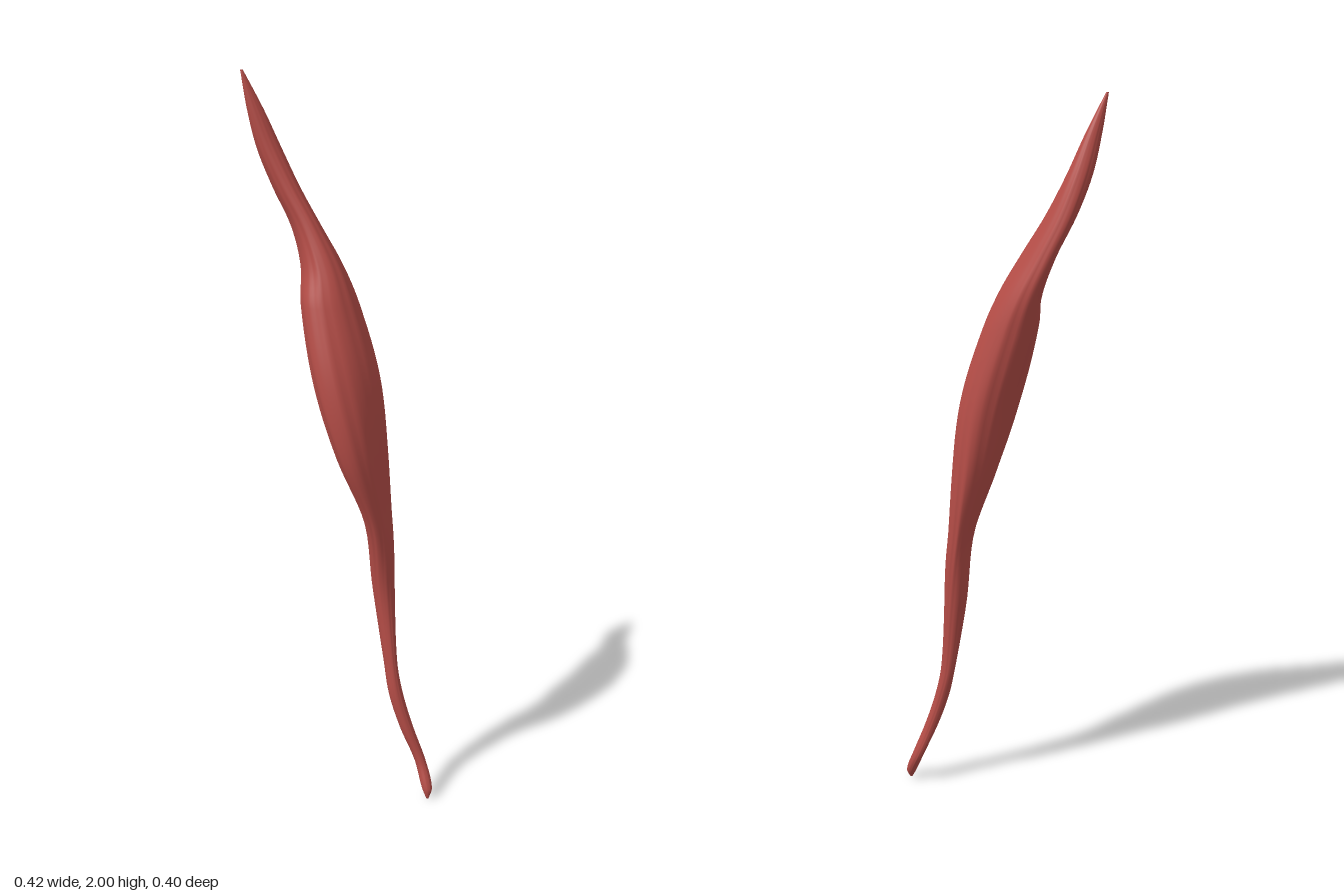
import * as THREE from 'three';

// Extent of the muscle at a few heights: y, xMin, xMax, zMin, zMax
const SECTIONS = [
  [0.00, 0.187, 0.194, 0.188, 0.196],
  [0.03, 0.178, 0.207, 0.168, 0.198],
  [0.10, 0.170, 0.200, 0.130, 0.168],
  [0.20, 0.133, 0.170, 0.106, 0.145],
  [0.30, 0.107, 0.146, 0.083, 0.125],
  [0.40, 0.099, 0.135, 0.056, 0.107],
  [0.60, 0.077, 0.140, 0.015, 0.086],
  [0.80, 0.044, 0.145, -0.020, 0.105],
  [1.00, -0.040, 0.140, -0.060, 0.122],
  [1.20, -0.090, 0.118, -0.090, 0.096],
  [1.40, -0.101, 0.067, -0.132, 0.036],
  [1.50, -0.086, 0.030, -0.155, -0.004],
  [1.60, -0.098, -0.019, -0.176, -0.050],
  [1.70, -0.137, -0.066, -0.194, -0.095],
  [1.80, -0.173, -0.108, -0.198, -0.130],
  [1.90, -0.196, -0.152, -0.191, -0.155],
  [2.00, -0.211, -0.204, -0.183, -0.178],
];
const SIDES = 64, STEPS = 6;

const bump = (y, centre, width) => Math.exp(-(((y - centre) / width) ** 2));

// Smooth interpolation between sections, allowing for their uneven spacing
function sectionAt(s) {
  const n = SECTIONS.length - 1;
  const i = Math.min(Math.floor(s), n - 1), f = s - i;
  const a = SECTIONS[Math.max(0, i - 1)], b = SECTIONS[i];
  const c = SECTIONS[i + 1], d = SECTIONS[Math.min(n, i + 2)];
  const h = c[0] - b[0], f2 = f * f, f3 = f2 * f;
  return b.map((v, k) => {
    if (k === 0) return v + h * f;
    const m0 = (c[k] - a[k]) / (c[0] - a[0]) * h;
    const m1 = (d[k] - v) / (d[0] - b[0]) * h;
    return (2 * f3 - 3 * f2 + 1) * v + (f3 - 2 * f2 + f) * m0
      + (3 * f2 - 2 * f3) * c[k] + (f3 - f2) * m1;
  });
}

function muscleGeometry() {
  const pos = [], index = [];
  const rings = (SECTIONS.length - 1) * STEPS + 1;
  for (let i = 0; i < rings; i++) {
    const [y, x0, x1, z0, z1] = sectionAt(i / STEPS);
    // the belly is a slanted oval, hollow on its rear face
    const slant = -0.65 * bump(y, 0.85, y > 0.85 ? 0.45 : 0.2);
    const hollow = 0.3 * bump(y, 1.25, 0.32);
    const cross = Math.sqrt(1 - slant * slant);
    for (let j = 0; j < SIDES; j++) {
      const t = j / SIDES * Math.PI * 2;
      const u = Math.cos(t), v = slant * u + cross * Math.sin(t);
      const rear = Math.max(0, -(u + v) / Math.SQRT2 / Math.hypot(u, v));
      // fine lengthwise fibres
      const fibre = 0.012 * Math.sin(11 * t + 2 * y) + 0.008 * Math.sin(17 * t - 3 * y);
      const r = 1 - hollow * rear ** 4 + fibre;
      pos.push((x0 + x1) / 2 + (x1 - x0) / 2 * u * r, y, (z0 + z1) / 2 + (z1 - z0) / 2 * v * r);
    }
  }
  for (let i = 0; i < rings - 1; i++) {
    for (let j = 0; j < SIDES; j++) {
      const a = i * SIDES + j, b = i * SIDES + (j + 1) % SIDES;
      const c = a + SIDES, d = b + SIDES;
      index.push(a, c, b, b, c, d);
    }
  }
  // close both tips
  const top = (rings - 1) * SIDES;
  for (let j = 1; j < SIDES - 1; j++) {
    index.push(0, j, j + 1, top, top + j + 1, top + j);
  }
  const geometry = new THREE.BufferGeometry();
  geometry.setAttribute('position', new THREE.Float32BufferAttribute(pos, 3));
  geometry.setIndex(index);
  geometry.computeVertexNormals();
  return geometry;
}

export function createModel() {
  const group = new THREE.Group();
  group.name = 'muscle';
  const red = new THREE.MeshStandardMaterial({ color: 0xb54d47 });
  red.name = 'muscle red';
  const belly = new THREE.Mesh(muscleGeometry(), red);
  belly.name = 'muscleBellyAndTendons';
  group.add(belly);
  return group;
}
